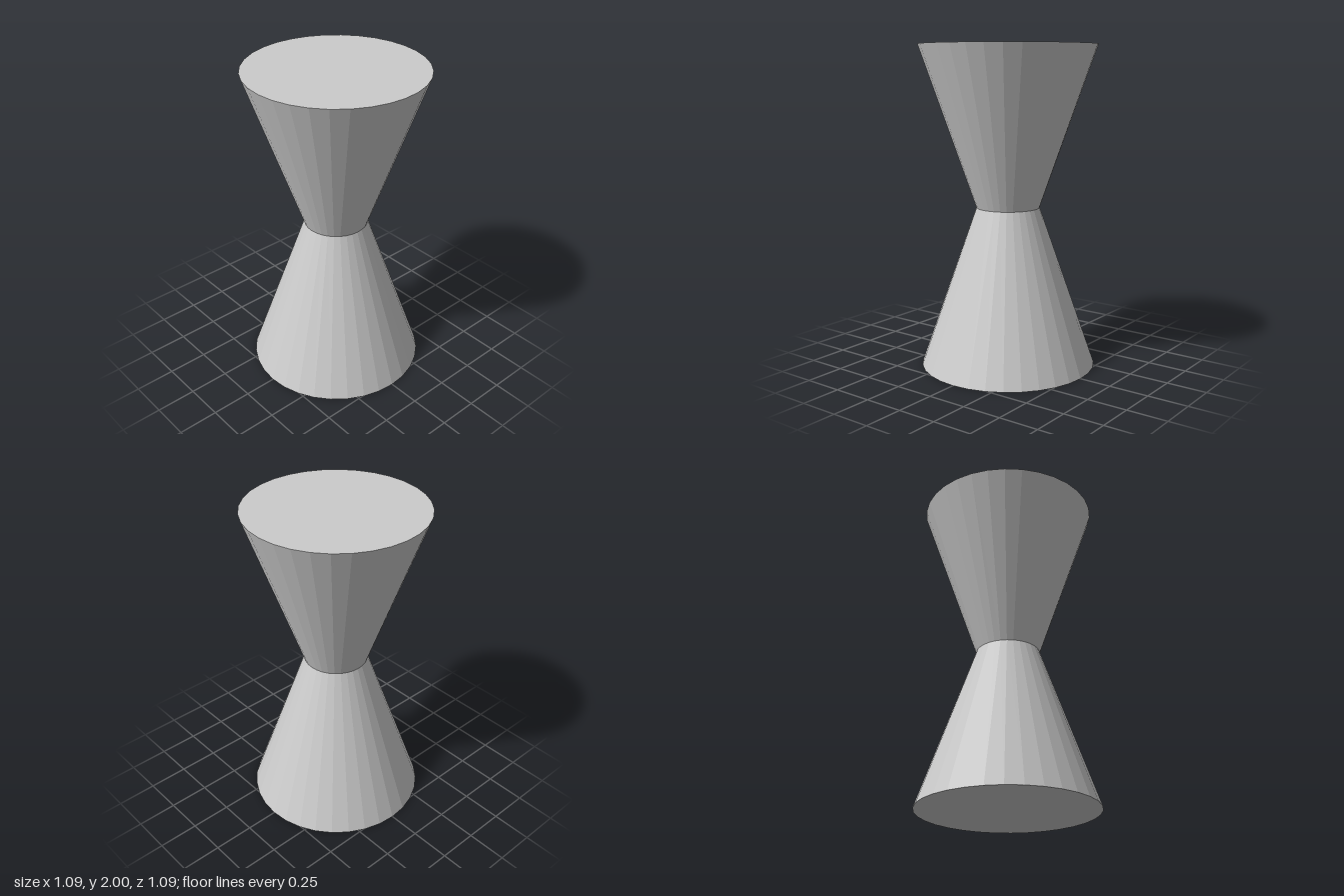
import * as THREE from 'three';

const SIDES = 32;
const RIM = 0.547;
const WAIST = 0.197;

export function createModel() {
  const model = new THREE.Group();
  model.name = 'hourglassStool';
  const material = new THREE.MeshStandardMaterial({ color: 0xcccccc, flatShading: true });

  // Profile from the floor centre out to the rim, in to the waist, out again and closed on top
  const profile = [
    [0, 0], [RIM, 0], [WAIST, 1], [RIM, 2], [0, 2],
  ].map(([r, y]) => new THREE.Vector2(r, y));

  const body = new THREE.Mesh(new THREE.LatheGeometry(profile, SIDES), material);
  body.name = 'hourglassBody';
  model.add(body);

  return model;
}
